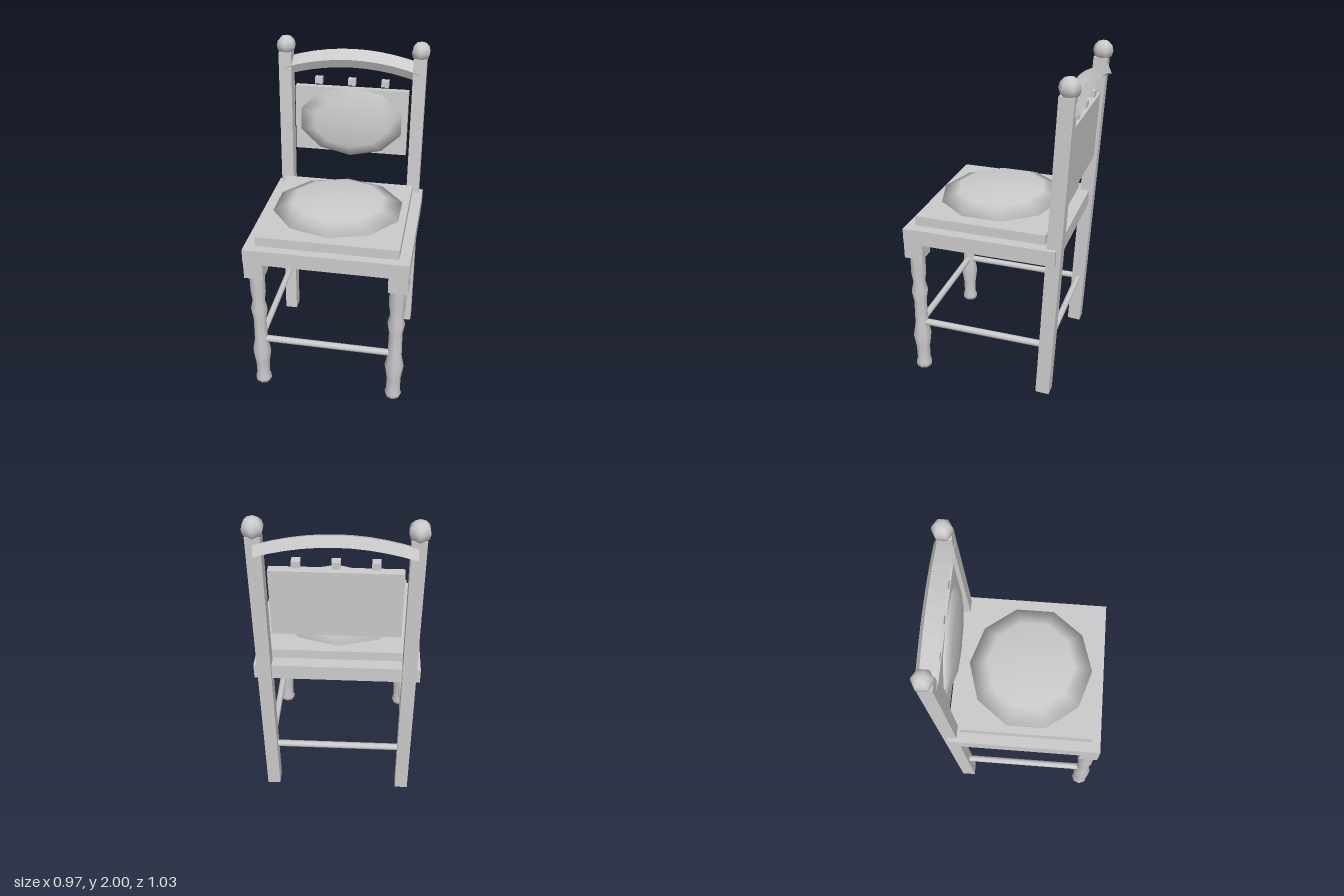
import * as THREE from 'three';

const smooth = new THREE.MeshStandardMaterial({ color: 0xcccccc });
const flat = new THREE.MeshStandardMaterial({ color: 0xcccccc, flatShading: true });

function add(parent, name, geometry, material, x, y, z) {
  const mesh = new THREE.Mesh(geometry, material);
  mesh.name = name;
  mesh.position.set(x, y, z);
  parent.add(mesh);
  return mesh;
}

function box(parent, name, size, x, y, z) {
  return add(parent, name, new THREE.BoxGeometry(...size), flat, x, y, z);
}

// Low-poly flattened ball, with a corner pointing to front and back
function cushionGeometry(rx, ry, rz) {
  return new THREE.SphereGeometry(1, 10, 4).rotateY(Math.PI / 2).scale(rx, ry, rz);
}

// Round bar between two points
function stretcher(parent, name, from, to) {
  const a = new THREE.Vector3(...from), b = new THREE.Vector3(...to);
  const dir = b.clone().sub(a);
  const mid = a.clone().add(b).multiplyScalar(0.5);
  const bar = add(parent, name, new THREE.CylinderGeometry(0.021, 0.021, dir.length(), 8), smooth, mid.x, mid.y, mid.z);
  bar.quaternion.setFromUnitVectors(new THREE.Vector3(0, 1, 0), dir.normalize());
}

export function createModel() {
  const chair = new THREE.Group();
  chair.name = 'chair';

  // Seat: frame, raised board and cushion
  box(chair, 'seatFrame', [0.97, 0.095, 0.925], 0, 0.9725, 0.0475);
  box(chair, 'seatBoard', [0.84, 0.06, 0.795], 0, 1.05, 0.0575);
  add(chair, 'seatCushion', cushionGeometry(0.4, 0.07, 0.376), smooth, 0, 1.105, 0.056);

  // Turned front legs with square blocks on top
  const legProfile = [
    [0, 0], [0.045, 0], [0.053, 0.025], [0.043, 0.055], [0.045, 0.15], [0.059, 0.245],
    [0.043, 0.33], [0.041, 0.5], [0.053, 0.57], [0.038, 0.635], [0.048, 0.7], [0.048, 0.84],
  ].map(([r, y]) => new THREE.Vector2(r, y));
  for (const s of [-1, 1]) {
    add(chair, 'frontLeg', new THREE.LatheGeometry(legProfile, 8), smooth, s * 0.42, 0, 0.455);
    box(chair, 'frontLegBlock', [0.115, 0.11, 0.115], s * 0.425, 0.88, 0.452);
    stretcher(chair, 'sideStretcher', [s * 0.42, 0.34, 0.455], [s * 0.42, 0.34, -0.35]);
  }
  stretcher(chair, 'frontStretcher', [-0.42, 0.34, 0.455], [0.42, 0.34, 0.455]);
  stretcher(chair, 'backStretcher', [-0.42, 0.34, -0.365], [0.42, 0.34, -0.365]);

  // Leaning back: posts, panel, cushion and small blocks
  const back = new THREE.Group();
  back.name = 'back';
  back.position.z = -0.353;
  back.rotation.x = -0.0473;
  chair.add(back);
  for (const s of [-1, 1]) {
    box(back, 'backPost', [0.08, 1.9, 0.085], s * 0.42, 0.952, 0);
    const ball = new THREE.SphereGeometry(0.062, 6, 6).rotateY(Math.PI / 6);
    add(chair, 'postBall', ball, smooth, s * 0.42, 1.938, -0.45);
  }
  box(back, 'backPanel', [0.72, 0.42, 0.05], 0, 1.482, 0);
  const pad = cushionGeometry(0.34, 0.045, 0.23).rotateX(Math.PI / 2);
  add(back, 'backCushion', pad, smooth, 0, 1.477, 0.03);
  for (const x of [-0.21, 0, 0.21]) {
    box(back, 'smallBlock', [0.047, 0.04, 0.047], x, 1.732, 0);
  }

  // Arched top rail, a tilted bar bent downwards at its ends
  const rail = new THREE.BoxGeometry(0.84, 0.062, 0.1, 10, 1, 1).rotateX(0.45);
  const p = rail.attributes.position;
  for (let i = 0; i < p.count; i++) {
    p.setY(i, p.getY(i) - 0.068 * (p.getX(i) / 0.42) ** 2);
  }
  add(chair, 'topRail', rail, flat, 0, 1.874, -0.452);

  return chair;
}
